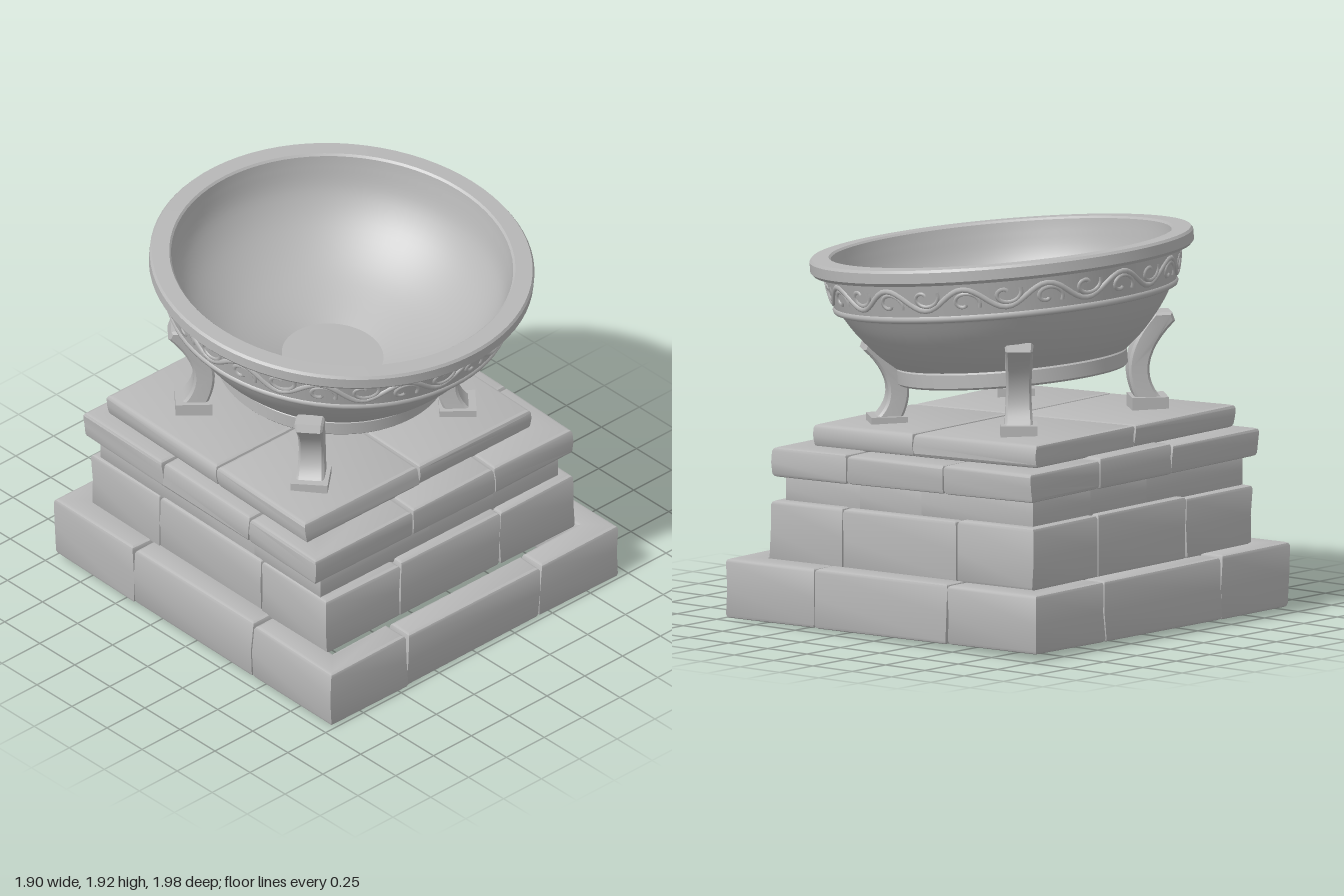
import * as THREE from 'three';
import { toCreasedNormals } from 'three/addons/utils/BufferGeometryUtils.js';

const V2 = (x, y) => new THREE.Vector2(x, y);
const stone = new THREE.MeshStandardMaterial({ color: 0xb8b8b8 });
stone.name = 'grey stone';

let seed = 7;
const rand = (a) => {
  seed = (seed * 16807) % 2147483647;
  return (seed / 2147483647 * 2 - 1) * a;
};

function add(parent, geometry, name) {
  const mesh = new THREE.Mesh(geometry, stone);
  mesh.name = name;
  parent.add(mesh);
  return mesh;
}

// Bevelled stone with a plan outline of [x, z] corners, slightly worn and leaning
function block(parent, name, outline, { y, h, lean, wear, bevel = 0.018 }) {
  const geo = new THREE.ExtrudeGeometry(new THREE.Shape(outline.map(([x, z]) => V2(x, -z))), {
    depth: h - 2 * bevel, steps: 2, bevelThickness: bevel, bevelSize: bevel, bevelOffset: -bevel, bevelSegments: 2,
  });
  geo.rotateX(-Math.PI / 2);
  const p = geo.attributes.position;
  const phase = rand(3), rise = rand(wear);
  for (let i = 0; i < p.count; i++) {
    const x = p.getX(i), z = p.getZ(i), t = p.getY(i) / h;
    p.setXYZ(i,
      x + wear * 0.5 * Math.sin(9 * z + 5 * t + phase),
      y + bevel + p.getY(i) + t * rise - lean * z - 0.012 * x * (y > 0.1 ? 1 : t),
      z + wear * 0.5 * Math.sin(8 * x + 4 * t + phase));
  }
  add(parent, toCreasedNormals(geo, 0.5), name);
}

const rect = (a, b, c, d) => [[a, c], [b, c], [b, d], [a, d]];

// Square ring of stones: L-shaped corners with straight stones between them
function course(parent, spec) {
  const { name, x, z, depth, gap = 0.004 } = spec;
  const g = new THREE.Group();
  g.name = name;
  for (const i of [0, 3]) {
    const s = i ? -1 : 1; // direction towards the middle
    for (const j of [0, 3]) {
      const sz = j ? -1 : 1;
      const ex = x[i ? 2 : 1] - s * gap, ez = z[j ? 2 : 1] - sz * gap;
      const ix = x[i] + s * depth, iz = z[j] + sz * depth;
      block(g, 'cornerStone', [[x[i], z[j]], [ex, z[j]], [ex, iz], [ix, iz], [ix, ez], [x[i], ez]], spec);
    }
    block(g, 'middleStone', rect(x[1] + gap, x[2] - gap, z[i], z[i] + s * depth), spec);
    block(g, 'middleStone', rect(x[i], x[i] + s * depth, z[1] + gap, z[2] - gap), spec);
  }
  parent.add(g);
}

function makePedestal() {
  const g = new THREE.Group();
  g.name = 'pedestal';
  course(g, { name: 'baseCourse', x: [-0.95, -0.445, 0.43, 0.945], z: [-0.985, -0.42, 0.425, 0.985], y: 0.014, h: 0.302, depth: 0.14, lean: 0.014, wear: 0.01 });
  course(g, { name: 'secondCourse', x: [-0.835, -0.345, 0.315, 0.802], z: [-0.845, -0.36, 0.365, 0.825], y: 0.3, h: 0.305, depth: 0.09, lean: 0.022, wear: 0.008 });
  course(g, { name: 'recessedCourse', x: [-0.82, -0.1, 0.32, 0.75], z: [-0.8, -0.09, 0.3, 0.77], y: 0.595, h: 0.145, depth: 0.06, lean: 0.026, wear: 0, bevel: 0.001, gap: 0 });
  course(g, { name: 'ledgeCourse', x: [-0.89, -0.245, 0.295, 0.808], z: [-0.84, -0.28, 0.335, 0.81], y: 0.728, h: 0.146, depth: 0.22, lean: 0.027, wear: 0.008 });

  // Four slabs close the top
  const xs = [-0.82, -0.075, 0.665], zs = [-0.75, 0.03, 0.665];
  for (const i of [0, 1]) for (const j of [0, 1]) {
    block(g, 'topSlab', rect(xs[i] + i * 0.006, xs[i + 1], zs[j] + j * 0.006, zs[j + 1]), { y: 0.868, h: 0.112, lean: 0.034, wear: 0.008 });
  }
  return g;
}

// Curved leg, concave on its outer side, drawn in the radial plane and extruded sideways
function makeLeg() {
  const g = new THREE.Group();
  g.name = 'leg';
  const s = new THREE.Shape();
  s.moveTo(0.705, 0.03);
  s.bezierCurveTo(0.61, 0.12, 0.61, 0.24, 0.765, 0.385);
  s.lineTo(0.75, 0.425);
  s.lineTo(0.665, 0.425);
  s.bezierCurveTo(0.51, 0.26, 0.52, 0.14, 0.575, 0.03);
  const w = 0.14;
  const geo = new THREE.ExtrudeGeometry(s, {
    depth: w - 0.024, bevelThickness: 0.012, bevelSize: 0.012, bevelOffset: -0.012, bevelSegments: 1, curveSegments: 12,
  });
  geo.translate(0, 0, -w / 2 + 0.012);
  // Narrow the waist
  const p = geo.attributes.position;
  for (let i = 0; i < p.count; i++) p.setZ(i, p.getZ(i) * (0.87 + 3.5 * (p.getY(i) - 0.22) ** 2));
  add(g, toCreasedNormals(geo, 0.5), 'legShaft');
  add(g, new THREE.BoxGeometry(0.18, 0.075, 0.18), 'legFoot').position.set(0.64, 0.005, 0);
  return g;
}

function makeBowl() {
  const g = new THREE.Group();
  g.name = 'bowl';
  const outer = new THREE.SplineCurve([V2(0.575, 0.085), V2(0.665, 0.165), V2(0.757, 0.275), V2(0.82, 0.375)]).getPoints(12);
  const inner = new THREE.SplineCurve([V2(0.835, 0.6), V2(0.795, 0.455), V2(0.69, 0.31), V2(0.51, 0.175), V2(0.25, 0.06)]).getPoints(20);
  const profile = [
    V2(0, 0.035), V2(0.44, 0.035), V2(0.46, 0), V2(0.56, 0), V2(0.57, 0.01), V2(0.57, 0.075), V2(0.56, 0.085),
    ...outer, V2(0.845, 0.4), V2(0.882, 0.56), V2(0.93, 0.564), V2(0.945, 0.58), V2(0.945, 0.63), V2(0.935, 0.643),
    V2(0.85, 0.645), V2(0.84, 0.635), ...inner,
  ];
  add(g, toCreasedNormals(new THREE.LatheGeometry(profile, 80), 0.5), 'bowlShell');
  const floor = add(g, new THREE.CircleGeometry(0.25, 80), 'bowlFloor');
  floor.rotation.x = -Math.PI / 2;
  floor.position.y = 0.06;

  // Round moulding below the ornament
  const moulding = add(g, new THREE.TorusGeometry(0.832, 0.02, 8, 80), 'moulding');
  moulding.rotation.x = Math.PI / 2;
  moulding.position.y = 0.388;

  // Vine relief wrapped round the band
  const onBand = (angle, y) => {
    const r = 0.842 + (y - 0.4) * 0.22;
    return new THREE.Vector3(r * Math.sin(angle), y, r * Math.cos(angle));
  };
  const vine = new THREE.Group();
  vine.name = 'vineRelief';
  const waves = 13, stem = [];
  for (let i = 0; i < waves * 10; i++) {
    const a = i / (waves * 10) * Math.PI * 2;
    stem.push(onBand(a, 0.482 + 0.05 * Math.sin(a * waves)));
  }
  add(vine, new THREE.TubeGeometry(new THREE.CatmullRomCurve3(stem, true), waves * 16, 0.015, 6, true), 'vineStem');
  for (let k = 0; k < waves * 2; k++) {
    const up = k % 2 ? -1 : 1, mid = (k + 0.5) * Math.PI / waves, curl = [];
    for (let i = 0; i <= 14; i++) {
      const t = i / 14, turn = -0.4 + t * 6, r = 0.062 * (1 - t) + 0.012;
      curl.push(onBand(mid + r * 1.3 * Math.cos(turn), 0.482 + up * (-0.018 + r * Math.sin(turn) * 0.85)));
    }
    add(vine, new THREE.TubeGeometry(new THREE.CatmullRomCurve3(curl), 28, 0.012, 5), 'vineCurl');
  }
  g.add(vine);
  return g;
}

export function createModel() {
  const model = new THREE.Group();
  model.name = 'basinOnPedestal';
  model.add(makePedestal());

  // Back legs are a little taller under the raised side of the bowl
  for (const sx of [-1, 1]) for (const sz of [-1, 1]) {
    const leg = makeLeg();
    leg.position.set(-0.07, 0.985 - sz * 0.02 - sx * 0.01, -0.005);
    leg.scale.y = sz < 0 ? 1.08 : 0.96;
    leg.rotation.y = Math.atan2(-sz * 0.655, sx * 0.755);
    model.add(leg);
  }

  // The bowl leans forward and is very slightly oval
  const bowl = makeBowl();
  bowl.position.set(-0.015, 1.19, -0.02);
  bowl.rotation.set(0.092, 0, -0.024);
  bowl.scale.z = 0.98;
  model.add(bowl);
  return model;
}
